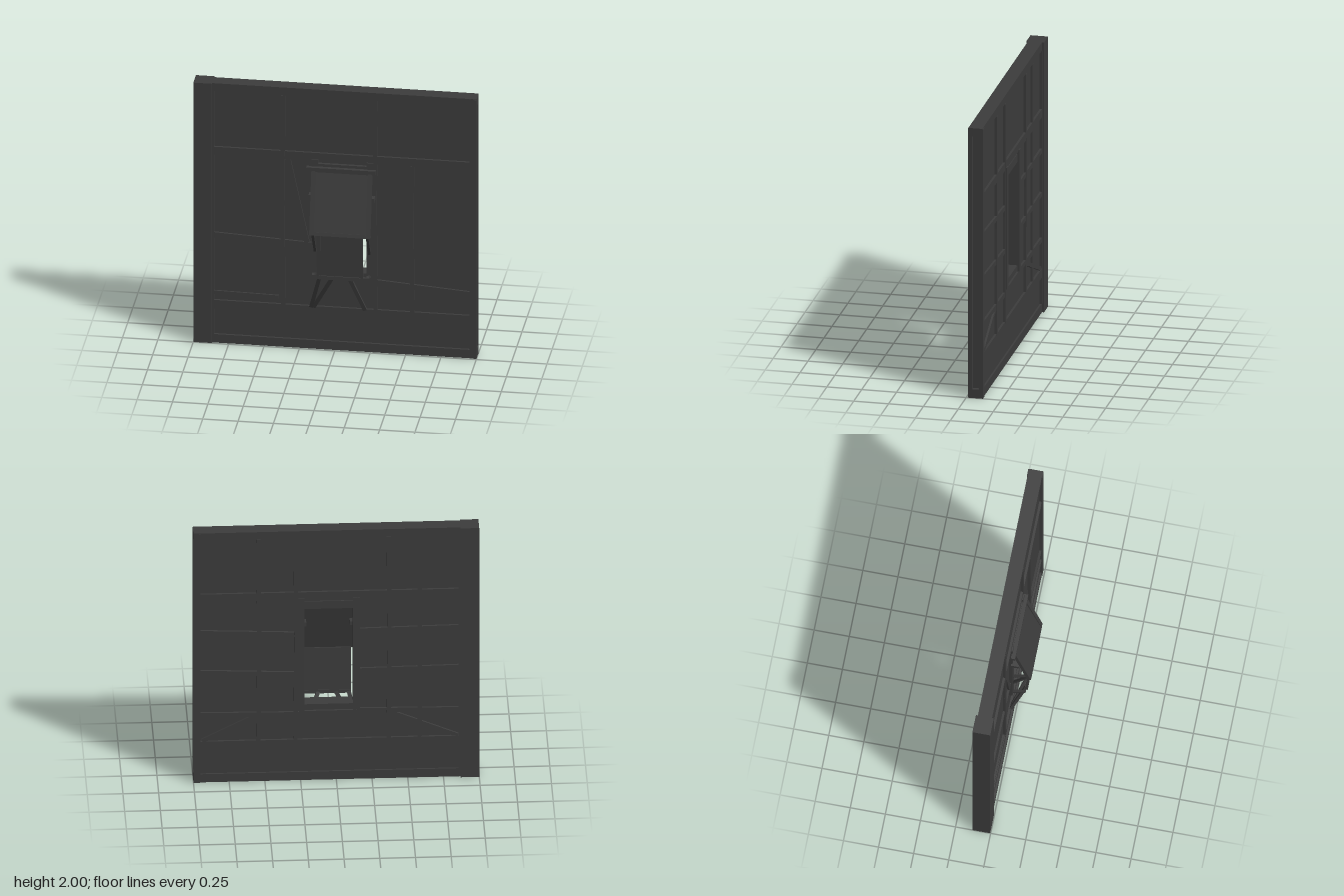
import * as THREE from 'three';

const mat = new THREE.MeshStandardMaterial({ color: 0x3c3c3c, side: THREE.DoubleSide });

export function createModel() {
  const root = new THREE.Group();
  root.name = 'timberWallWithWindow';

  function add(name, geo, parent = root) {
    const m = new THREE.Mesh(geo, mat);
    m.name = name;
    parent.add(m);
    return m;
  }

  // axis-aligned block from its limits
  function block(name, x0, x1, y0, y1, z0, z1) {
    const m = add(name, new THREE.BoxGeometry(x1 - x0, y1 - y0, z1 - z0));
    m.position.set((x0 + x1) / 2, (y0 + y1) / 2, (z0 + z1) / 2);
    return m;
  }

  // timber between two points: w is its width across, d its thickness
  function beam(name, a, b, w, d) {
    const A = new THREE.Vector3(...a), B = new THREE.Vector3(...b);
    const dir = B.clone().sub(A);
    const m = add(name, new THREE.BoxGeometry(w, dir.length(), d));
    dir.normalize();
    const side = new THREE.Vector3().crossVectors(dir, new THREE.Vector3(0, 0, 1)).normalize();
    const out = new THREE.Vector3().crossVectors(side, dir);
    m.quaternion.setFromRotationMatrix(new THREE.Matrix4().makeBasis(side, dir, out));
    m.position.copy(A).add(B).multiplyScalar(0.5);
    return m;
  }

  // wall panel with the window opening
  const wall = new THREE.Shape([[-0.9, 0.02], [0.97, 0.02], [0.97, 1.98], [-0.9, 1.98]]
    .map(p => new THREE.Vector2(...p)));
  wall.holes.push(new THREE.Path([[-0.125, 0.6], [-0.125, 1.38], [0.228, 1.38], [0.228, 0.6]]
    .map(p => new THREE.Vector2(...p))));
  add('wallPanel', new THREE.ExtrudeGeometry(wall, { depth: 0.07, bevelEnabled: false }))
    .position.z = -0.102;

  // main frame
  block('cornerPost', -1, -0.87, 0, 2, -0.13, -0.003);
  block('topBeam', -0.87, 1, 1.94, 2, -0.115, -0.015);
  block('bottomBeam', -0.87, 1, 0, 0.065, -0.115, -0.015);

  // timbers on both faces
  for (const [side, z0, z1] of [['front', -0.04, -0.015], ['back', -0.118, -0.095]]) {
    const zc = (z0 + z1) / 2, d = z1 - z0;
    block(side + 'EndPost', 0.95, 1, 0.0, 1.995, z0 - 0.002, z1 + 0.004);
    block(side + 'InnerEdge', -0.87, -0.855, 0.065, 1.94, z0, z1);
    block(side + 'UpperRail', -0.87, 0.95, 1.45, 1.51, z0, z1);
    block(side + 'LowerRail', -0.87, 0.95, 0.262, 0.328, z0, z1);
    // slightly crooked studs
    for (const [x, top] of [[-0.37, 1.94], [0.282, 1.94], [0.542, side === 'front' ? 1.45 : 1.94]]) {
      beam(side + 'StudLower', [x + 0.004, 0.32, zc], [x - 0.003, 1.1, zc], 0.03, d + 0.004);
      beam(side + 'StudUpper', [x - 0.003, 1.1, zc], [x + 0.003, top, zc], 0.03, d + 0.004);
    }
  }

  // crooked front braces
  const zf = -0.029;
  beam('frontMiddleRail', [-0.86, 0.83, zf], [-0.16, 0.795, zf], 0.04, 0.024);
  beam('frontSideRail', [0.295, 0.538, zf], [0.95, 0.49, zf], 0.04, 0.024);
  beam('frontShortRail', [-0.86, 0.385, zf], [-0.4, 0.377, zf], 0.028, 0.02);
  beam('frontBrace', [-0.335, 1.45, zf], [-0.2, 0.815, zf], 0.038, 0.024);

  // back rails and braces
  const zb = -0.106;
  for (const [y0, y1] of [[1.2, 1.17], [0.88, 0.85], [0.54, 0.53]]) {
    beam('backRailLeft', [0.95, y0, zb], [0.26, y1, zb], 0.035, 0.022);
    beam('backRailRight', [-0.15, y1 + 0.02, zb], [-0.86, y0, zb], 0.035, 0.022);
  }
  block('backRailBelowWindow', -0.15, 0.26, 0.52, 0.555, zb - 0.011, zb + 0.011);
  beam('backBraceLeft', [0.94, 0.33, zb], [0.55, 0.53, zb], 0.03, 0.02);
  beam('backBraceRight', [-0.85, 0.33, zb], [-0.38, 0.53, zb], 0.03, 0.02);
  block('backUpright', -0.6, -0.57, 0.33, 1.94, zb - 0.011, zb + 0.011);

  // window frame through the wall
  for (const x of [-0.142, 0.248]) {
    block('windowJamb', x - 0.024, x + 0.024, 0.56, 1.46, -0.125, -0.006);
  }
  block('windowHead', -0.12, 0.228, 1.37, 1.43, -0.11, -0.01);
  block('windowSill', -0.12, 0.228, 0.565, 0.605, -0.11, -0.012);

  // upper flap, hinged at the top and leaning outwards
  const bar = [-0.2, 0.29];
  block('hingeBar', bar[0], bar[1], 1.378, 1.41, -0.012, 0.018);
  beam('upperFlap', [0.05, 1.38, 0.002], [0.05, 0.945, 0.11], 0.38, 0.014);
  for (const x of [-0.148, 0.252]) {
    beam('upperFlapStile', [x, 1.4, 0.002], [x, 0.935, 0.112], 0.03, 0.024);
  }
  beam('upperFlapRail', [0.05, 0.96, 0.11], [0.05, 0.935, 0.116], 0.4, 0.018);

  // lower flap
  beam('lowerFlap', [0.05, 0.94, 0.1], [0.05, 0.6, 0.078], 0.3, 0.01);
  for (const x of [-0.1, 0.2]) {
    beam('lowerFlapStile', [x, 0.94, 0.104], [x, 0.59, 0.08], 0.026, 0.018);
  }
  block('lowerFlapRail', -0.11, 0.24, 0.588, 0.615, 0.07, 0.092);

  // side props holding the flaps
  for (const x of [-0.14, 0.245]) {
    beam('propUpper', [x, 0.95, 0.105], [x, 0.89, -0.01], 0.018, 0.016);
    beam('propMiddle', [x, 0.94, 0.105], [x, 0.76, -0.01], 0.018, 0.016);
    beam('propLower', [x, 0.62, 0.08], [x, 0.583, -0.01], 0.018, 0.016);
    block('flapBracket', x - 0.04, x + 0.04, 1.178, 1.208, -0.015, 0.04);
  }

  // struts under the lower flap
  for (const [xa, xb] of [[-0.095, -0.168], [-0.005, -0.15], [0.118, 0.212]]) {
    beam('underStrut', [xa, 0.6, 0.078], [xb, 0.325, -0.014], 0.027, 0.02);
  }

  return root;
}
